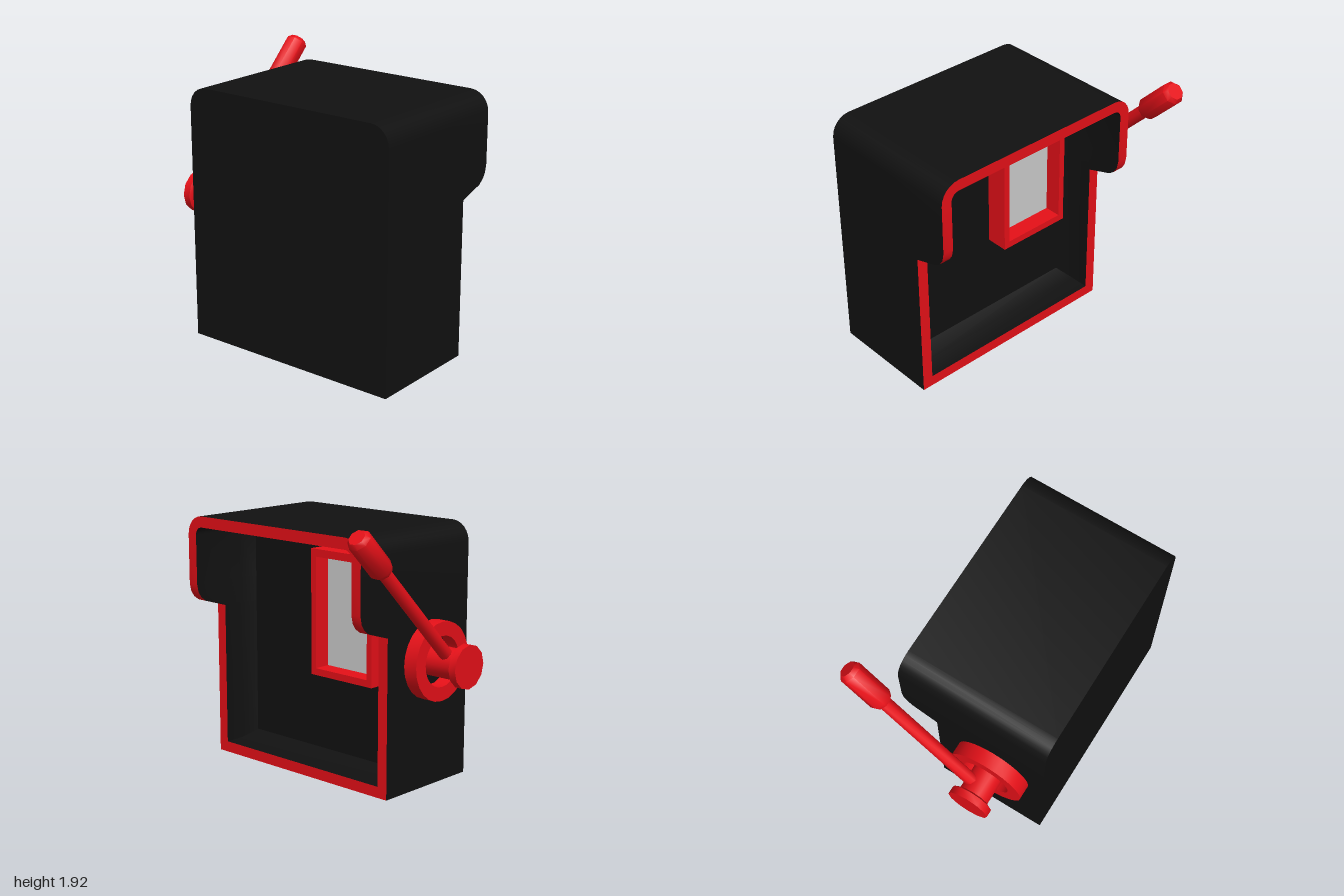
import * as THREE from 'three';
import { toCreasedNormals } from 'three/addons/utils/BufferGeometryUtils.js';

const black = new THREE.MeshStandardMaterial({ color: 0x111111 });
const red = new THREE.MeshStandardMaterial({ color: 0xe61018 });
const grey = new THREE.MeshStandardMaterial({ color: 0xcccccc });

const LEFT = 1, RIGHT = -0.665, TOP = 1.82, FRONT = 0.705, WALL = 0.08, RADIUS = 0.14;
// Side profile of the open back edge: [height, z]
const BACK = [[0, -0.14], [1.13, -0.14], [1.19, -0.33], [1.22, -0.37], [1.26, -0.397], [1.32, -0.41], [2, -0.41]];

function backZ(y) {
  const i = Math.max(1, BACK.findIndex((p) => p[0] >= y));
  const [y0, z0] = BACK[i - 1], [y1, z1] = BACK[i];
  return z0 + ((z1 - z0) * (y - y0)) / (y1 - y0);
}

// Front outline with rounded top corners, inset by d, at depth z (number or function of y)
function ring(d, z) {
  const half = (LEFT - RIGHT) / 2, mid = (LEFT + RIGHT) / 2;
  const r = Math.max(RADIUS - d, 0.01), side = [[half - d, d]];
  for (const [y] of BACK.slice(1, -1)) side.push([half - d, y]);
  for (let i = 0; i <= 6; i++) {
    const a = (i / 6) * Math.PI / 2;
    side.push([half - d - r + r * Math.cos(a), TOP - d - r + r * Math.sin(a)]);
  }
  const mirrored = side.map(([x, y]) => [-x, y]).reverse();
  return [...side, ...mirrored].map(([x, y]) =>
    new THREE.Vector3(mid + x, y, typeof z === 'number' ? z : z(y)));
}

// Ring collapsed to one point, to close a loft
const cap = (z) => ring(0, z).map(() => new THREE.Vector3((LEFT + RIGHT) / 2, 0.9, z));

function loft(rings) {
  const pos = [];
  const tri = (a, b, c) => {
    if (a.distanceTo(b) > 1e-6 && b.distanceTo(c) > 1e-6 && c.distanceTo(a) > 1e-6) {
      for (const p of [a, b, c]) pos.push(p.x, p.y, p.z);
    }
  };
  for (let k = 0; k + 1 < rings.length; k++) {
    const a = rings[k], b = rings[k + 1], n = a.length;
    for (let i = 0; i < n; i++) {
      const j = (i + 1) % n;
      tri(a[i], b[i], a[j]);
      tri(a[j], b[i], b[j]);
    }
  }
  const g = new THREE.BufferGeometry();
  g.setAttribute('position', new THREE.Float32BufferAttribute(pos, 3));
  return toCreasedNormals(g, 0.5);
}

function add(parent, name, geometry, material) {
  const mesh = new THREE.Mesh(geometry, material);
  mesh.name = name;
  parent.add(mesh);
  return mesh;
}

function turned(points, sides) {
  const profile = points.map(([r, y]) => new THREE.Vector2(r, y));
  return toCreasedNormals(new THREE.LatheGeometry(profile, sides), 0.9);
}

export function createModel() {
  const model = new THREE.Group();
  model.name = 'leverCabinet';

  // Shell: outside, red back rim, and shallow cavity with bevelled corners
  add(model, 'outerShell', loft([cap(FRONT), ring(0, FRONT), ring(0, backZ)]), black);
  add(model, 'backRim', loft([ring(0, backZ), ring(WALL, backZ)]), red);
  add(model, 'cavity', loft([ring(WALL, backZ), ring(WALL, 0.01), ring(WALL + 0.05, 0.13), cap(0.13)]), black);

  // Window frame and pane on the cavity wall
  const rect = (P, x0, x1, y0, y1) => {
    const p = new P();
    p.moveTo(x0, y0).lineTo(x1, y0).lineTo(x1, y1).lineTo(x0, y1).closePath();
    return p;
  };
  const outline = rect(THREE.Shape, -0.43, 0.14, 0.725, 1.63);
  outline.holes.push(rect(THREE.Path, -0.385, 0.095, 0.775, 1.575));
  const frame = add(model, 'windowFrame', new THREE.ExtrudeGeometry(outline, { depth: 0.17, bevelEnabled: false }), red);
  frame.position.z = -0.035;
  const pane = add(model, 'windowPane', new THREE.PlaneGeometry(0.48, 0.8), grey);
  pane.position.set(-0.145, 1.175, 0.09);
  pane.rotation.y = Math.PI;

  // Crank hub, turned around the x axis
  const hub = new THREE.Group();
  hub.name = 'crankHub';
  hub.position.set(0, 0.91, 0.31);
  hub.rotation.z = Math.PI / 2;
  model.add(hub);
  add(hub, 'mountingRing', turned([[0.28, 0.665], [0.28, 0.77], [0.18, 0.77], [0.18, 0.665]], 24), red);
  add(hub, 'shaft', turned([[0.11, 0.66], [0.11, 0.95]], 16), red);
  add(hub, 'endKnob', turned([[0, 0.93], [0.125, 0.93], [0.155, 0.945], [0.155, 1], [0, 1]], 12), red);

  // Lever leaning back at 45 degrees, with an eight-sided grip
  const lever = new THREE.Group();
  lever.name = 'lever';
  lever.position.set(-0.85, 0.95, 0.28);
  lever.rotation.x = -Math.PI / 4;
  model.add(lever);
  add(lever, 'leverRod', turned([[0.047, -0.04], [0.047, 1]], 8), red);
  add(lever, 'leverGrip', turned([[0, 0.965], [0.065, 0.965], [0.083, 1.0], [0.083, 1.29], [0.06, 1.32], [0, 1.32]], 8)
    .rotateY(Math.PI / 8), red);

  return model;
}
